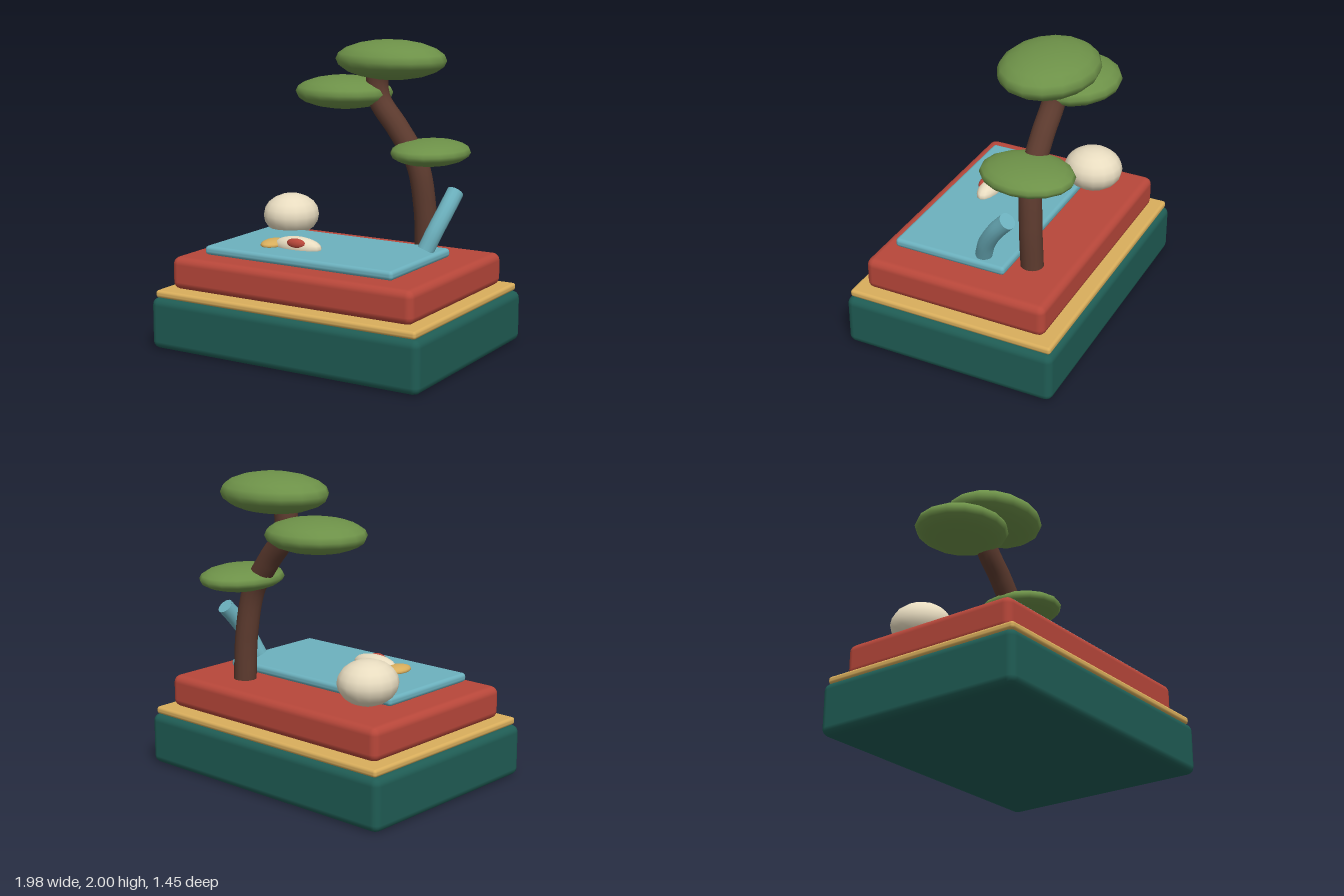
import * as THREE from 'three';
import { RoundedBoxGeometry } from 'three/addons/geometries/RoundedBoxGeometry.js';

const GREEN = 0x6d9148, GOLD = 0xd9ae5c, RED = 0xb8473a, BLUE = 0x6cb1be;
const TEAL = 0x1f5c54, BARK = 0x5c3a2e, CREAM = 0xe8dcc0;

export function createModel() {
  const model = new THREE.Group();
  model.name = 'bonsaiDisplay';

  const add = (name, geometry, color, parent = model) => {
    const mesh = new THREE.Mesh(geometry, new THREE.MeshStandardMaterial({ color }));
    mesh.name = name;
    parent.add(mesh);
    return mesh;
  };

  // Bevelled slab given by its limits on each axis
  const slab = (name, color, [x0, x1], [y0, y1], [z0, z1], radius, segments) =>
    add(name, new RoundedBoxGeometry(x1 - x0, y1 - y0, z1 - z0, segments, radius), color)
      .position.set((x0 + x1) / 2, (y0 + y1) / 2, (z0 + z1) / 2);

  // Coarse, smoothly shaded ellipsoid
  const ellipsoid = (name, color, centre, radii, parent) =>
    add(name, new THREE.SphereGeometry(1, 16, 10).scale(...radii), color, parent)
      .position.set(...centre);

  // Bent round rod with closed ends
  const rod = (name, color, points, radius) => {
    const group = new THREE.Group();
    group.name = name;
    model.add(group);
    const curve = new THREE.CatmullRomCurve3(points.map((p) => new THREE.Vector3(...p)));
    add(name + 'Side', new THREE.TubeGeometry(curve, 32, radius, 14), color, group);
    for (const [t, sign] of [[0, -1], [1, 1]]) {
      const cap = add(name + 'Cap', new THREE.CircleGeometry(radius, 14), color, group);
      cap.position.copy(curve.getPoint(t));
      cap.quaternion.setFromUnitVectors(
        new THREE.Vector3(0, 0, 1), curve.getTangent(t).multiplyScalar(sign));
    }
  };

  // Stepped plinth and tray
  slab('base', TEAL, [-0.99, 0.99], [0, 0.34], [-0.725, 0.725], 0.05, 2);
  slab('trim', GOLD, [-0.96, 0.96], [0.34, 0.39], [-0.705, 0.705], 0.02, 2);
  slab('upperPlinth', RED, [-0.89, 0.89], [0.39, 0.605], [-0.625, 0.625], 0.05, 2);
  slab('tray', BLUE, [-0.7, 0.695], [0.62, 0.68], [-0.26, 0.515], 0.025, 2);

  // Tree: bent trunk and three foliage pads
  rod('trunk', BARK, [
    [0.47, 0.595, -0.35], [0.465, 0.9, -0.335], [0.415, 1.2, -0.315],
    [0.27, 1.42, -0.315], [0.125, 1.6, -0.325], [0.105, 1.74, -0.33], [0.16, 1.86, -0.33],
  ], 0.075);
  const foliage = new THREE.Group();
  foliage.name = 'foliage';
  model.add(foliage);
  ellipsoid('topPad', GREEN, [0.205, 1.865, -0.33], [0.38, 0.13, 0.305], foliage);
  ellipsoid('middlePad', GREEN, [-0.15, 1.635, -0.33], [0.335, 0.11, 0.305], foliage);
  ellipsoid('lowerPad', GREEN, [0.505, 1.28, -0.33], [0.25, 0.085, 0.305], foliage);

  // Leaning bent rod beside the trunk
  rod('leaningRod', BLUE, [
    [0.608, 0.69, -0.08], [0.65, 0.81, -0.125], [0.688, 0.94, -0.205], [0.706, 1.045, -0.295],
  ], 0.055);

  // Round stone behind the tray corner
  ellipsoid('stone', CREAM, [-0.562, 0.765, -0.31], [0.19, 0.145, 0.2]);

  // Small fish on the tray
  const fish = new THREE.Group();
  fish.name = 'fish';
  model.add(fish);
  ellipsoid('fishBody', CREAM, [-0.145, 0.69, 0.25], [0.175, 0.065, 0.072], fish);
  ellipsoid('fishTail', GOLD, [-0.333, 0.688, 0.25], [0.075, 0.032, 0.11], fish);
  ellipsoid('fishPatch', RED, [-0.13, 0.718, 0.297], [0.07, 0.034, 0.03], fish);

  return model;
}
